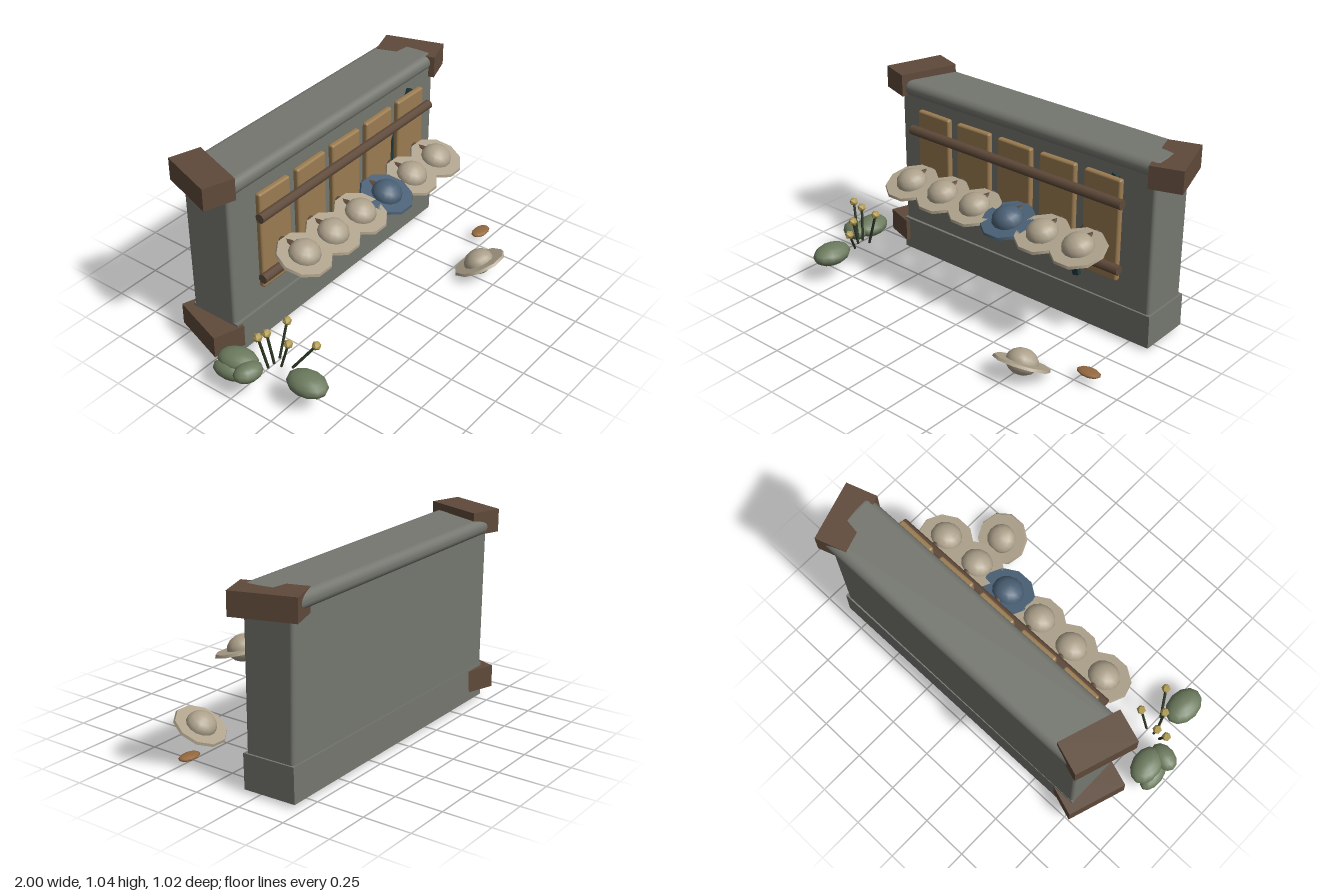
import * as THREE from 'three';
import { RoundedBoxGeometry } from 'three/addons/geometries/RoundedBoxGeometry.js';

const mat = (name, color) => {
  const m = new THREE.MeshStandardMaterial({ color });
  m.name = name;
  return m;
};

export function createModel() {
  const root = new THREE.Group();
  const stone = mat('stone grey', 0x74766f);
  const wood = mat('dark wood', 0x5f4a3a);
  const board = mat('tan board', 0x9a7b50);
  const straw = mat('straw', 0xaea28c);
  const blue = mat('faded blue', 0x4a6075);
  const leaf = mat('bush green', 0x6c7b5e);
  const stemGreen = mat('stem green', 0x2e3a26);
  const yellow = mat('blossom yellow', 0xb39d52);
  const teal = mat('dark teal', 0x20383a);
  const clay = mat('clay brown', 0x93683f);

  const add = (name, geo, material, x, y, z, parent = root) => {
    const m = new THREE.Mesh(geo, material);
    m.name = name;
    m.position.set(x, y, z);
    parent.add(m);
    return m;
  };
  // cylinder running between two points
  const rod = (name, a, b, r, sides, material) => {
    const p = new THREE.Vector3(...a), q = new THREE.Vector3(...b);
    const d = q.clone().sub(p), c = p.clone().add(q).multiplyScalar(0.5);
    const m = add(name, new THREE.CylinderGeometry(r, r, d.length(), sides), material, c.x, c.y, c.z);
    m.quaternion.setFromUnitVectors(new THREE.Vector3(0, 1, 0), d.normalize());
    return m;
  };

  // Wall, a little thinner towards the ground
  const wallGeo = new RoundedBoxGeometry(1.615, 0.9, 0.28, 3, 0.018);
  const wp = wallGeo.attributes.position;
  for (let i = 0; i < wp.count; i++) wp.setZ(i, wp.getZ(i) * (0.975 + 0.05 * wp.getY(i)));
  add('wall', wallGeo, stone, 0.055, 0.5, -0.318);

  // Footing and rounded coping
  const footing = add('footing', new THREE.BoxGeometry(1.625, 0.18, 0.287), stone, 0.06, 0.112, -0.316);
  footing.rotation.set(0.02, 0.004, -0.003);
  const coping = add('coping', new RoundedBoxGeometry(1.63, 0.085, 0.32, 4, 0.04), stone, 0.07, 0.959, -0.328);
  coping.rotation.set(-0.02, 0.004, -0.003);

  // Splayed corner blocks
  for (const [name, x, y, turn] of [
    ['upperLeftBlock', 0.863, 0.94, 0.32],
    ['upperRightBlock', -0.754, 0.984, -0.32],
    ['lowerRightBlock', -0.754, 0.131, -0.32],
  ]) {
    add(name, new THREE.BoxGeometry(0.168, 0.118, 0.322), wood, x, y, -0.328).rotation.y = turn;
  }

  // Hanging rack: boards, two rails
  for (let i = 0; i < 5; i++) {
    const b = add('rackBoard', new RoundedBoxGeometry(0.216, 0.54, 0.034, 2, 0.012), board,
      -0.485 + i * 0.27, 0.62, -0.141);
    b.rotation.y = i % 2 ? 0.015 : -0.015;
  }
  for (const y of [0.43, 0.78]) {
    const rail = rod('rackRail', [-0.62, y, -0.108], [0.73, y, -0.108], 0.026, 8, wood);
    rail.rotateY(Math.PI / 8);
  }

  // Bent strap behind the boards
  const strap = [[0.645, 0.89], [0.405, 0.4], [0.435, 0.275]];
  for (let i = 0; i < 2; i++) {
    const [[x0, y0], [x1, y1]] = [strap[i], strap[i + 1]];
    const s = add('strap', new THREE.BoxGeometry(0.036, Math.hypot(x1 - x0, y1 - y0), 0.024), teal,
      (x0 + x1) / 2, (y0 + y1) / 2, -0.17);
    s.rotation.z = Math.atan2(x1 - x0, y0 - y1);
  }

  // Broad hats: faceted brim disc with a round crown
  const brimGeo = new THREE.CylinderGeometry(0.139, 0.144, 0.014, 10);
  const crownGeo = new THREE.SphereGeometry(0.08, 14, 8);
  const makeHat = (name, material, x, y, z, tilt, roll) => {
    const hat = new THREE.Group();
    hat.name = name;
    hat.position.set(x, y, z);
    hat.rotation.set(tilt, 0, roll);
    add('brim', brimGeo, material, 0, -0.006, 0, hat).rotation.y = Math.PI / 10;
    add('crown', crownGeo, material, 0, 0, 0, hat).scale.set(1.03, 0.82, 1);
    root.add(hat);
  };
  for (let i = 0; i < 6; i++) {
    const x = -0.485 + i * 0.216;
    makeHat('hangingHat', i === 3 ? blue : straw, x, 0.574, 0.044, 0.3, 0);
    rod('hatPeg', [x, 0.59, -0.102], [x, 0.59, -0.01], 0.02, 8, wood);
  }
  makeHat('fallenHat', straw, 0.54, 0.078, 0.38, -0.49, 0.04);

  // Small dish on the ground
  add('dish', new THREE.SphereGeometry(1, 10, 6), clay, 0.81, 0.051, 0.215).scale.set(0.066, 0.014, 0.04);

  // Bushes: position, radii, turn
  for (const [p, r, turn] of [
    [[-0.89, 0.15, -0.042], [0.076, 0.05, 0.106], 0.2],
    [[-0.945, 0.115, -0.05], [0.05, 0.046, 0.092], 0.1],
    [[-0.925, 0.143, 0.052], [0.08, 0.046, 0.058], -0.2],
    [[-0.82, 0.147, 0.325], [0.08, 0.055, 0.112], 0],
  ]) {
    const bush = add('bush', new THREE.SphereGeometry(1, 12, 8), leaf, ...p);
    bush.scale.set(...r);
    bush.rotation.y = turn;
  }

  // Flowers: stem foot and blossom centre
  for (const [foot, head] of [
    [[-0.845, 0.145, 0.108], [-0.885, 0.345, 0.088]],
    [[-0.805, 0.145, 0.11], [-0.825, 0.33, 0.088]],
    [[-0.8, 0.145, 0.15], [-0.79, 0.295, 0.19]],
    [[-0.76, 0.145, 0.105], [-0.7, 0.335, 0.108]],
    [[-0.775, 0.145, 0.198], [-0.71, 0.285, 0.293]],
  ]) {
    rod('flowerStem', foot, head, 0.007, 6, stemGreen);
    add('blossom', new THREE.IcosahedronGeometry(0.024, 0), yellow, ...head);
  }

  return root;
}
